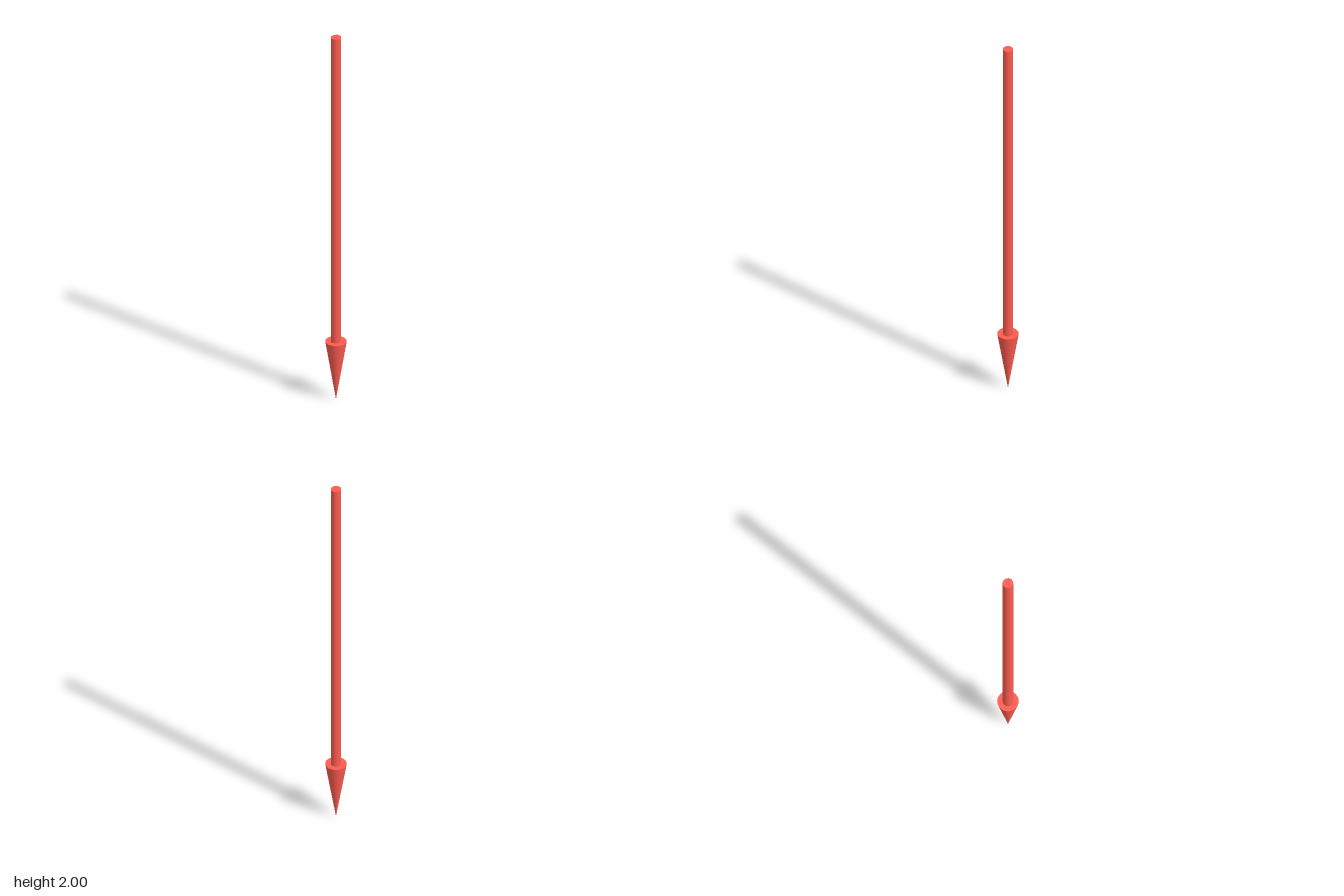
import * as THREE from 'three';

const HEAD_HEIGHT = 0.322;
const HEAD_RADIUS = 0.0525;
const HEAD_SIDES = 32;
const SHAFT_RADIUS = 0.026;
const SHAFT_SIDES = 12;
const TOTAL_HEIGHT = 2;

export function createModel() {
  const group = new THREE.Group();
  group.name = 'downArrow';
  const red = new THREE.MeshStandardMaterial({ color: 0xff5c50 });

  // Long shaft standing on the flat back of the head, flats facing the axes
  const shaftLength = TOTAL_HEIGHT - HEAD_HEIGHT;
  const shaft = new THREE.Mesh(
    new THREE.CylinderGeometry(SHAFT_RADIUS, SHAFT_RADIUS, shaftLength, SHAFT_SIDES), red);
  shaft.name = 'shaft';
  shaft.position.y = HEAD_HEIGHT + shaftLength / 2;
  shaft.rotation.y = Math.PI / SHAFT_SIDES;

  // Conical head with its tip pointing down
  const head = new THREE.Mesh(
    new THREE.CylinderGeometry(HEAD_RADIUS, 0, HEAD_HEIGHT, HEAD_SIDES), red);
  head.name = 'arrowHead';
  head.position.y = HEAD_HEIGHT / 2;

  group.add(shaft, head);
  return group;
}
